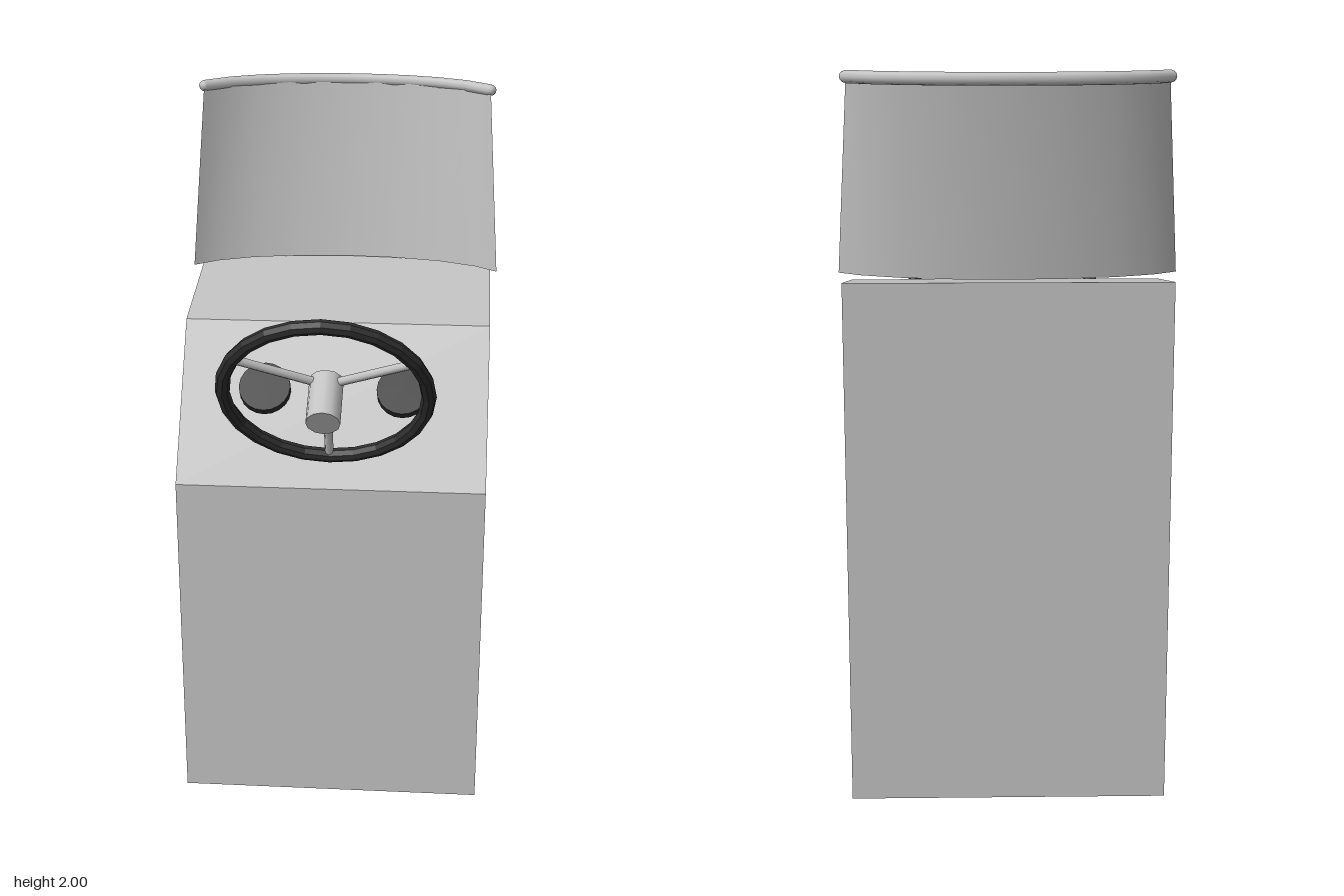
import * as THREE from 'three';

const paint = (name, color, extra = {}) => {
  const m = new THREE.MeshStandardMaterial({ color, ...extra });
  m.name = name;
  return m;
};

function addMesh(parent, name, geometry, material) {
  const mesh = new THREE.Mesh(geometry, material);
  mesh.name = name;
  parent.add(mesh);
  return mesh;
}

// Mirrors half of an arc, listed from the middle outwards as [x, z]
const fullArc = (half) => [
  ...half.slice(1).reverse().map(([x, z]) => [-x, z]),
  ...half,
];

// Cylinder between two points
function addRod(parent, name, a, b, radius, material) {
  const dir = b.clone().sub(a);
  const rod = addMesh(parent, name, new THREE.CylinderGeometry(radius, radius, dir.length(), 8), material);
  rod.position.copy(a).add(b).multiplyScalar(0.5);
  rod.quaternion.setFromUnitVectors(new THREE.Vector3(0, 1, 0), dir.normalize());
}

export function createModel() {
  const model = new THREE.Group();
  model.name = 'helmConsole';

  const grey = paint('light grey', 0xc2c2c2, { side: THREE.DoubleSide });
  const black = paint('black', 0x2e2e2e, { flatShading: true });

  // Console body: side profile in (z, y), extruded across x
  const width = 0.872;
  const profile = [[0.258, 0], [0.258, 1.003], [-0.037, 1.393], [-0.487, 1.457], [-0.487, 0]];
  const bodyGeo = new THREE.ExtrudeGeometry(
    new THREE.Shape(profile.map(([z, y]) => new THREE.Vector2(z, y))),
    { depth: width, bevelEnabled: false },
  );
  bodyGeo.translate(0, 0, -width / 2).rotateY(-Math.PI / 2);
  addMesh(model, 'consoleBody', bodyGeo, grey);

  // Curved windscreen leaning back
  const low = fullArc([[0, -0.457], [0.145, -0.449], [0.285, -0.421], [0.39, -0.379], [0.454, -0.332]]);
  const high = fullArc([[0, -0.532], [0.134, -0.524], [0.264, -0.496], [0.361, -0.454], [0.42, -0.408]]);
  const screenGeo = new THREE.PlaneGeometry(1, 1, 8, 1);
  for (let i = 0; i < 9; i++) {
    screenGeo.attributes.position.setXYZ(i, high[i][0], 1.98, high[i][1]);
    screenGeo.attributes.position.setXYZ(i + 9, low[i][0], 1.46, low[i][1]);
  }
  screenGeo.computeVertexNormals();
  addMesh(model, 'windscreen', screenGeo, grey);

  // Rail along the top edge of the windscreen, with rounded ends
  const railPath = new THREE.CatmullRomCurve3(high.map(([x, z]) => new THREE.Vector3(x, 1.983, z - 0.012)));
  addMesh(model, 'topRail', new THREE.TubeGeometry(railPath, 10, 0.017, 8), grey);
  for (const end of [0, 1]) {
    addMesh(model, 'railEnd', new THREE.SphereGeometry(0.016, 8, 6), grey).position.copy(railPath.getPoint(end));
  }

  // Gauges on the sloping panel
  for (const side of [-1, 1]) {
    const gauge = addMesh(model, 'gauge', new THREE.CylinderGeometry(0.073, 0.073, 0.03, 20), black);
    gauge.position.set(side * 0.195, 1.242, 0.108);
    gauge.rotation.x = Math.PI / 4;
  }

  // Steering wheel, tilted as one group
  const wheel = new THREE.Group();
  wheel.name = 'steeringWheel';
  wheel.position.set(0, 1.349, 0.403);
  wheel.rotation.x = Math.PI / 6;
  model.add(wheel);
  addMesh(wheel, 'wheelRim', new THREE.TorusGeometry(0.275, 0.02, 8, 24), black);
  const hub = addMesh(wheel, 'hub', new THREE.CylinderGeometry(0.046, 0.046, 0.143, 12), grey);
  hub.rotation.x = Math.PI / 2;
  hub.position.z = 0.026;
  for (let i = 0; i < 3; i++) {
    const a = Math.PI / 6 + (i * Math.PI * 2) / 3;
    const at = (r, z) => new THREE.Vector3(Math.cos(a) * r, Math.sin(a) * r, z);
    addRod(wheel, 'spoke', at(0.03, -0.028), at(0.272, 0), 0.012, grey);
  }

  return model;
}
